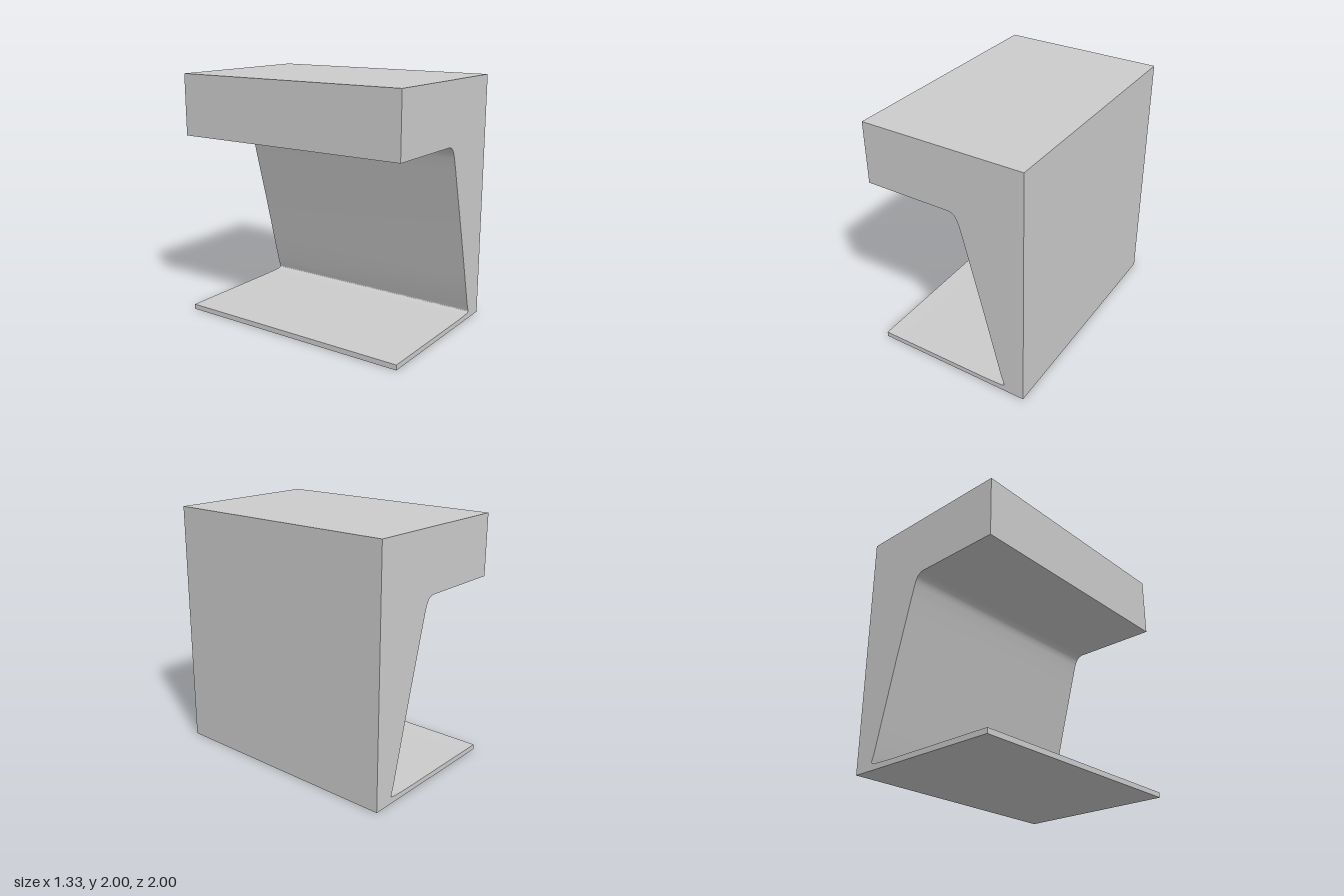
import * as THREE from 'three';
import { toCreasedNormals } from 'three/addons/utils/BufferGeometryUtils.js';

const HALF_WIDTH = 0.665, HEIGHT = 2, DEPTH = 2;
const SHELF_TOP = 0.042, OVERHANG_BOTTOM = 1.502;

export function createModel() {
  const group = new THREE.Group();
  group.name = 'channelBlock';

  // C-shaped outline: thin floor, sloping inner wall, thick overhang
  const profile = new THREE.Shape();
  profile.moveTo(-HALF_WIDTH, 0);
  profile.lineTo(HALF_WIDTH, 0);
  profile.lineTo(HALF_WIDTH, HEIGHT);
  profile.lineTo(-HALF_WIDTH, HEIGHT);
  profile.lineTo(-HALF_WIDTH, OVERHANG_BOTTOM);
  profile.lineTo(0.05, OVERHANG_BOTTOM);
  // Rounded upper inner corner
  profile.bezierCurveTo(0.1, 1.495, 0.118, 1.46, 0.135, 1.41);
  // Sloping wall, nearly straight
  profile.lineTo(0.165, 1.305);
  profile.lineTo(0.203, 1.16);
  profile.lineTo(0.3, 0.8);
  profile.lineTo(0.4, 0.41);
  profile.lineTo(0.47, 0.135);
  // Tight lower inner corner, easing into the floor
  profile.lineTo(0.493, 0.07);
  profile.quadraticCurveTo(0.5, 0.053, 0.47, 0.048);
  profile.lineTo(0.38, 0.044);
  profile.lineTo(0.3, SHELF_TOP);
  profile.lineTo(-HALF_WIDTH, SHELF_TOP);
  profile.closePath();

  const extruded = new THREE.ExtrudeGeometry(profile, {
    depth: DEPTH, bevelEnabled: false, curveSegments: 8,
  });
  extruded.translate(0, 0, -DEPTH / 2);

  const body = new THREE.Mesh(
    toCreasedNormals(extruded, Math.PI / 6),
    new THREE.MeshStandardMaterial({ color: 0xcccccc }),
  );
  body.name = 'channelBody';
  group.add(body);
  return group;
}
